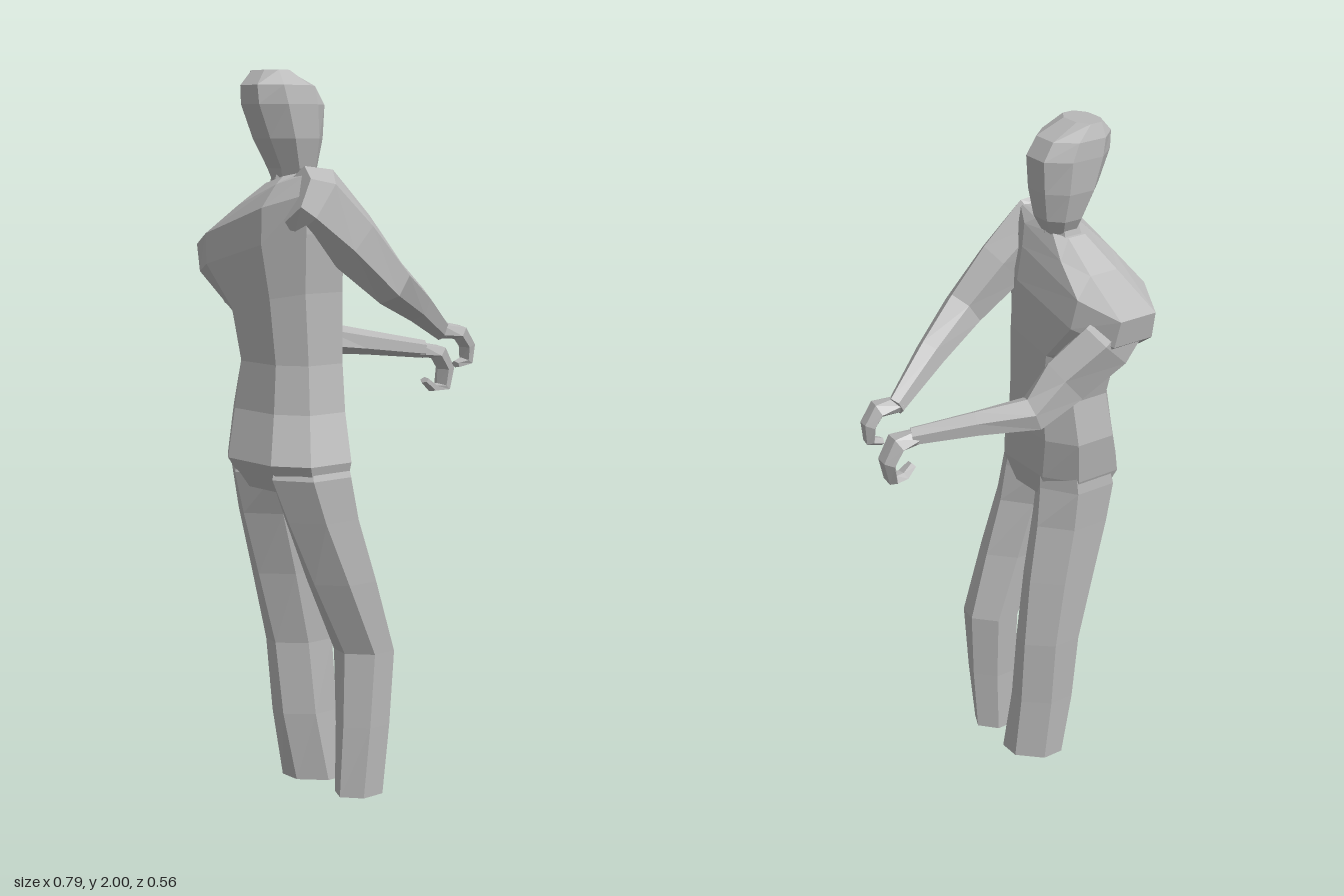
import * as THREE from 'three';

const V = (x, y, z) => new THREE.Vector3(x, y, z);

// Faceted skin through rings. Each ring: { c: centre, u, v: half-axis vectors }
// A power below 1 makes the cross-section boxier.
function loft(name, rings, sides, material, power = 1) {
  // unit polygon, scaled so that it fills its box exactly
  const angles = Array.from({ length: sides }, (_, j) => ((j + 0.5) / sides) * Math.PI * 2);
  const fit = (f) => {
    const w = angles.map((a) => Math.sign(f(a)) * Math.abs(f(a)) ** power);
    const max = Math.max(...w.map(Math.abs));
    return w.map((x) => x / max);
  };
  const du = fit(Math.cos), dv = fit(Math.sin);
  const pts = rings.map(({ c, u, v }) => angles.map((_, j) => c.clone()
    .addScaledVector(u, du[j]).addScaledVector(v, dv[j])));
  const pos = [];
  const tri = (...p) => p.forEach((q) => pos.push(q.x, q.y, q.z));
  const last = rings.length - 1;
  for (let j = 0; j < sides; j++) {
    const k = (j + 1) % sides;
    for (let i = 0; i < last; i++) {
      tri(pts[i][j], pts[i][k], pts[i + 1][k]);
      tri(pts[i][j], pts[i + 1][k], pts[i + 1][j]);
    }
    tri(rings[0].c, pts[0][k], pts[0][j]);
    tri(rings[last].c, pts[last][j], pts[last][k]);
  }
  const g = new THREE.BufferGeometry();
  g.setAttribute('position', new THREE.Float32BufferAttribute(pos, 3));
  g.computeVertexNormals();
  const mesh = new THREE.Mesh(g, material);
  mesh.name = name;
  return mesh;
}

// Ring from its extents; tilt raises the +z side, skew moves it forward (+x)
const level = ([y, x0, x1, z0, z1, tilt = 0, skew = 0]) => ({
  c: V((x0 + x1) / 2, y, (z0 + z1) / 2),
  u: V(skew, tilt, 1).multiplyScalar((z1 - z0) / 2),
  v: V((x1 - x0) / 2, 0, 0),
});

// Rings square to a path of [x, y, z, half width, half depth]
function along(path) {
  const c = path.map((p) => V(p[0], p[1], p[2]));
  return path.map((p, i) => {
    const t = c[Math.min(i + 1, c.length - 1)].clone().sub(c[Math.max(i - 1, 0)]).normalize();
    const u = V(0, 0, 1).addScaledVector(t, -t.z).normalize();
    const v = t.clone().cross(u);
    return { c: c[i], u: u.multiplyScalar(p[3]), v: v.multiplyScalar(p[4]) };
  });
}

export function createModel() {
  const model = new THREE.Group();
  model.name = 'standingFigure';
  const grey = new THREE.MeshStandardMaterial({ color: 0xb8b8b8, flatShading: true });
  grey.name = 'plain grey';
  const body = (name, rows, sides, power) =>
    model.add(loft(name, rows.map(level), sides, grey, power));
  const limb = (name, path, sides) => model.add(loft(name, along(path), sides, grey));

  // Head and neck
  body('head', [
    [1.68, -0.24, -0.165, -0.015, 0.055],
    [1.74, -0.26, -0.137, -0.045, 0.09],
    [1.82, -0.305, -0.125, -0.06, 0.11],
    [1.91, -0.343, -0.12, -0.063, 0.114],
    [1.96, -0.345, -0.15, -0.06, 0.107],
    [2.0, -0.31, -0.23, -0.045, 0.08],
  ], 8, 0.9);
  body('neck', [
    [1.6, -0.29, -0.14, -0.06, 0.1],
    [1.74, -0.25, -0.16, -0.02, 0.07],
  ], 6);

  // Torso with one raised and one lowered shoulder
  body('torso', [
    [0.88, -0.355, -0.15, -0.07, 0.25],
    [0.96, -0.4, -0.13, -0.098, 0.27],
    [1.09, -0.357, -0.12, -0.116, 0.222],
    [1.22, -0.342, -0.115, -0.095, 0.202],
    [1.38, -0.355, -0.11, -0.125, 0.2, 0.2],
    [1.51, -0.365, -0.115, -0.265, 0.215, 0.25],
    [1.6, -0.36, -0.13, -0.278, 0.215, 0.3],
    [1.67, -0.32, -0.145, -0.14, 0.185, 0.35],
    [1.71, -0.27, -0.16, -0.04, 0.11, 0.25],
  ], 8, 0.75);

  // Legs
  body('rightLeg', [
    [0.0, -0.177, -0.04, 0.148, 0.25, 0, 0.2],
    [0.2, -0.168, -0.028, 0.148, 0.258, 0, 0.3],
    [0.41, -0.16, -0.02, 0.137, 0.262, 0, 0.35],
    [0.62, -0.265, -0.075, 0.126, 0.268, 0, 0.25],
    [0.8, -0.345, -0.12, 0.106, 0.268, 0, 0.1],
    [0.92, -0.39, -0.132, 0.08, 0.27],
    [1.02, -0.36, -0.14, 0.07, 0.235],
  ], 6);
  body('leftLeg', [
    [0.0, -0.175, -0.045, -0.062, 0.068, 0, 0.5],
    [0.2, -0.215, -0.06, -0.068, 0.054, 0, 0.5],
    [0.41, -0.235, -0.065, -0.078, 0.046, 0, 0.45],
    [0.62, -0.295, -0.085, -0.086, 0.06, 0, 0.3],
    [0.8, -0.35, -0.115, -0.092, 0.078, 0, 0.15],
    [0.92, -0.385, -0.13, -0.098, 0.1],
    [1.02, -0.355, -0.13, -0.09, 0.1],
  ], 6);

  // Arms reaching forward
  limb('rightArm', [
    [-0.305, 1.675, 0.168, 0.058, 0.08],
    [-0.25, 1.65, 0.178, 0.065, 0.11],
    [-0.14, 1.55, 0.205, 0.06, 0.09],
    [-0.02, 1.43, 0.228, 0.05, 0.066],
    [0.14, 1.358, 0.158, 0.035, 0.05],
    [0.3, 1.27, 0.09, 0.02, 0.03],
  ], 6);
  limb('leftArm', [
    [-0.26, 1.5, -0.205, 0.058, 0.07],
    [-0.2, 1.43, -0.198, 0.058, 0.095],
    [-0.1, 1.33, -0.15, 0.052, 0.09],
    [0.0, 1.253, -0.135, 0.05, 0.05],
    [0.14, 1.235, -0.067, 0.036, 0.036],
    [0.3, 1.21, 0.012, 0.025, 0.026],
  ], 6);

  // Hands with fingers curled downward
  limb('rightHand', [
    [0.28, 1.275, 0.092, 0.02, 0.025],
    [0.345, 1.265, 0.112, 0.037, 0.022],
    [0.375, 1.225, 0.112, 0.032, 0.018],
    [0.375, 1.18, 0.11, 0.028, 0.015],
    [0.34, 1.17, 0.105, 0.02, 0.01],
  ], 5);
  limb('leftHand', [
    [0.28, 1.21, 0.005, 0.025, 0.022],
    [0.345, 1.2, 0.018, 0.044, 0.022],
    [0.375, 1.15, 0.02, 0.038, 0.018],
    [0.365, 1.095, 0.02, 0.034, 0.015],
    [0.325, 1.095, 0.02, 0.026, 0.012],
    [0.295, 1.12, 0.02, 0.018, 0.01],
  ], 5);

  return model;
}
